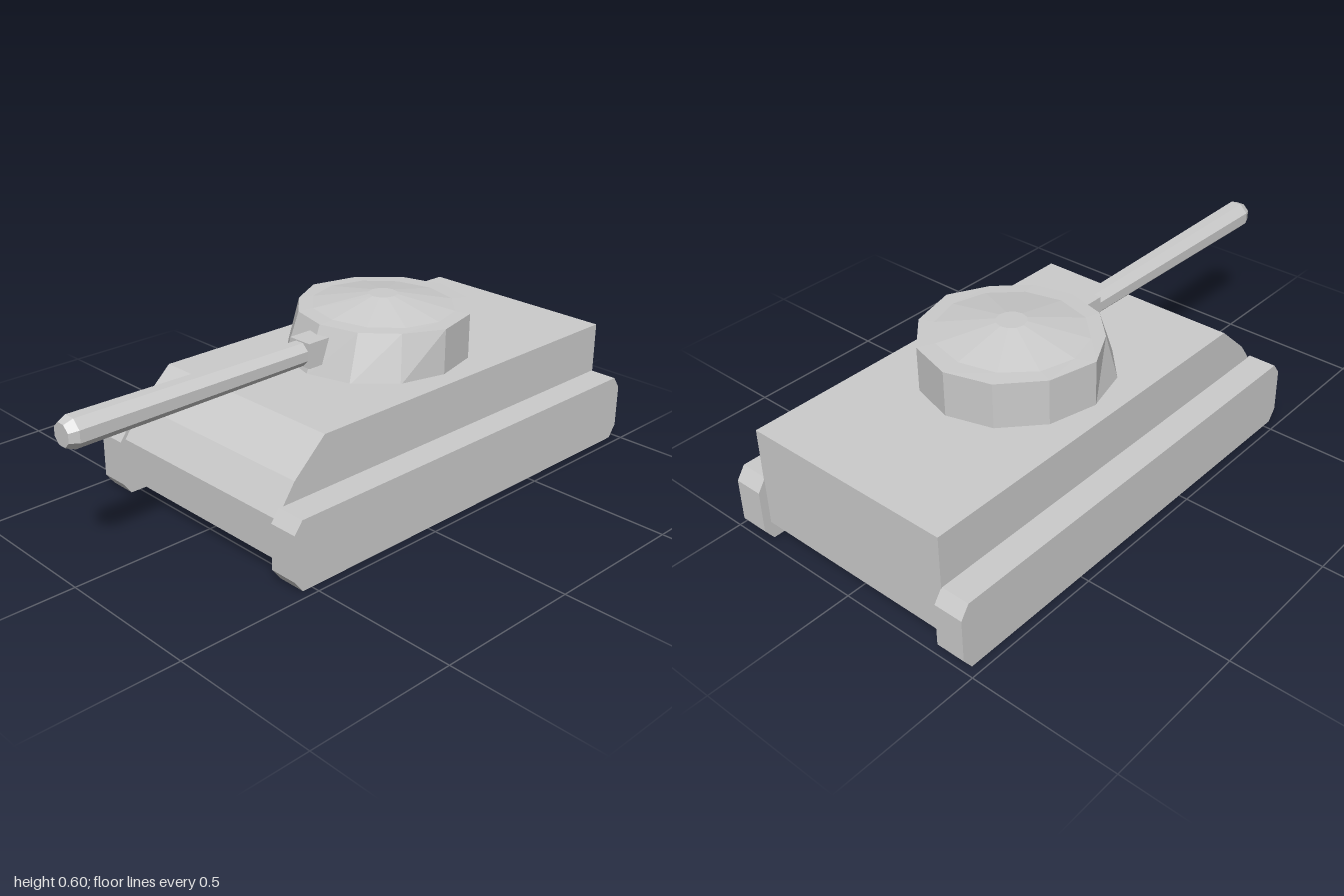
import * as THREE from 'three';

const material = new THREE.MeshStandardMaterial({ color: 0xcccccc, flatShading: true });

function addMesh(parent, name, geometry) {
  const mesh = new THREE.Mesh(geometry, material);
  mesh.name = name;
  parent.add(mesh);
  return mesh;
}

// Side profile extruded across z from z0 to z1
function sideExtrude(points, z0, z1) {
  const shape = new THREE.Shape(points.map(([x, y]) => new THREE.Vector2(x, y)));
  return new THREE.ExtrudeGeometry(shape, { depth: z1 - z0, bevelEnabled: false }).translate(0, 0, z0);
}

// Twelve-sided ring; the forward half can be pulled inwards
function ring(cx, y, rx, rz, frontX = 1, frontZ = 1) {
  return Array.from({ length: 12 }, (_, i) => {
    const a = (i / 12) * Math.PI * 2;
    const c = Math.cos(a), s = Math.sin(a);
    const front = c < -0.01;
    return [cx + c * rx * (front ? frontX : 1), y, -s * rz * (front ? frontZ : 1)];
  });
}

// Skin a stack of rings from bottom to top and close both ends
function loft(rings) {
  const pos = [];
  const n = rings[0].length;
  for (let r = 0; r < rings.length - 1; r++) {
    for (let i = 0; i < n; i++) {
      const j = (i + 1) % n;
      const a = rings[r], b = rings[r + 1];
      pos.push(...a[i], ...a[j], ...b[j], ...a[i], ...b[j], ...b[i]);
    }
  }
  const bottom = rings[0], top = rings[rings.length - 1];
  for (let i = 1; i < n - 1; i++) {
    pos.push(...top[0], ...top[i], ...top[i + 1]);
    pos.push(...bottom[0], ...bottom[i + 1], ...bottom[i]);
  }
  const g = new THREE.BufferGeometry();
  g.setAttribute('position', new THREE.Float32BufferAttribute(pos, 3));
  g.computeVertexNormals();
  return g;
}

export function createModel() {
  const tank = new THREE.Group();
  tank.name = 'tank';

  // Hull with a two-step sloping nose
  addMesh(tank, 'hull', sideExtrude([
    [-0.545, 0.065], [0.973, 0.065], [0.973, 0.411],
    [-0.355, 0.411], [-0.475, 0.3], [-0.545, 0.2],
  ], -0.372, 0.372));

  // Chamfered track blocks on both sides
  const track = [
    [-0.535, 0.002], [0.97, 0.002], [1, 0.045], [1, 0.192],
    [0.97, 0.235], [-0.535, 0.235], [-0.565, 0.195], [-0.565, 0.042],
  ];
  addMesh(tank, 'leftTrack', sideExtrude(track, 0.37, 0.47));
  addMesh(tank, 'rightTrack', sideExtrude(track, -0.47, -0.37));

  // Turret: upright at the rear, raked at the front, with a shallow roof
  const turret = new THREE.Group();
  turret.name = 'turret';
  tank.add(turret);
  addMesh(turret, 'turretBody', loft([
    ring(0.235, 0.405, 0.33, 0.308, 0.97),
    ring(0.235, 0.565, 0.33, 0.308, 0.79, 0.9),
    ring(0.265, 0.567, 0.235, 0.25),
    ring(0.265, 0.604, 0.05, 0.05),
  ]));

  // Mantlet block where the gun meets the turret
  addMesh(turret, 'mantlet', sideExtrude([
    [-0.113, 0.448], [0.02, 0.448], [0.02, 0.533], [-0.113, 0.533],
  ], -0.045, 0.045));

  // Slightly flared eight-sided barrel with a chamfered muzzle
  const profile = [[0, 0], [0.042, 0], [0.051, 0.86], [0.038, 0.89], [0, 0.89]]
    .map(([r, h]) => new THREE.Vector2(r, h));
  const barrel = addMesh(turret, 'barrel', new THREE.LatheGeometry(profile, 8, Math.PI / 8));
  barrel.rotation.z = Math.PI / 2;
  barrel.position.set(-0.11, 0.49, 0);

  return tank;
}
